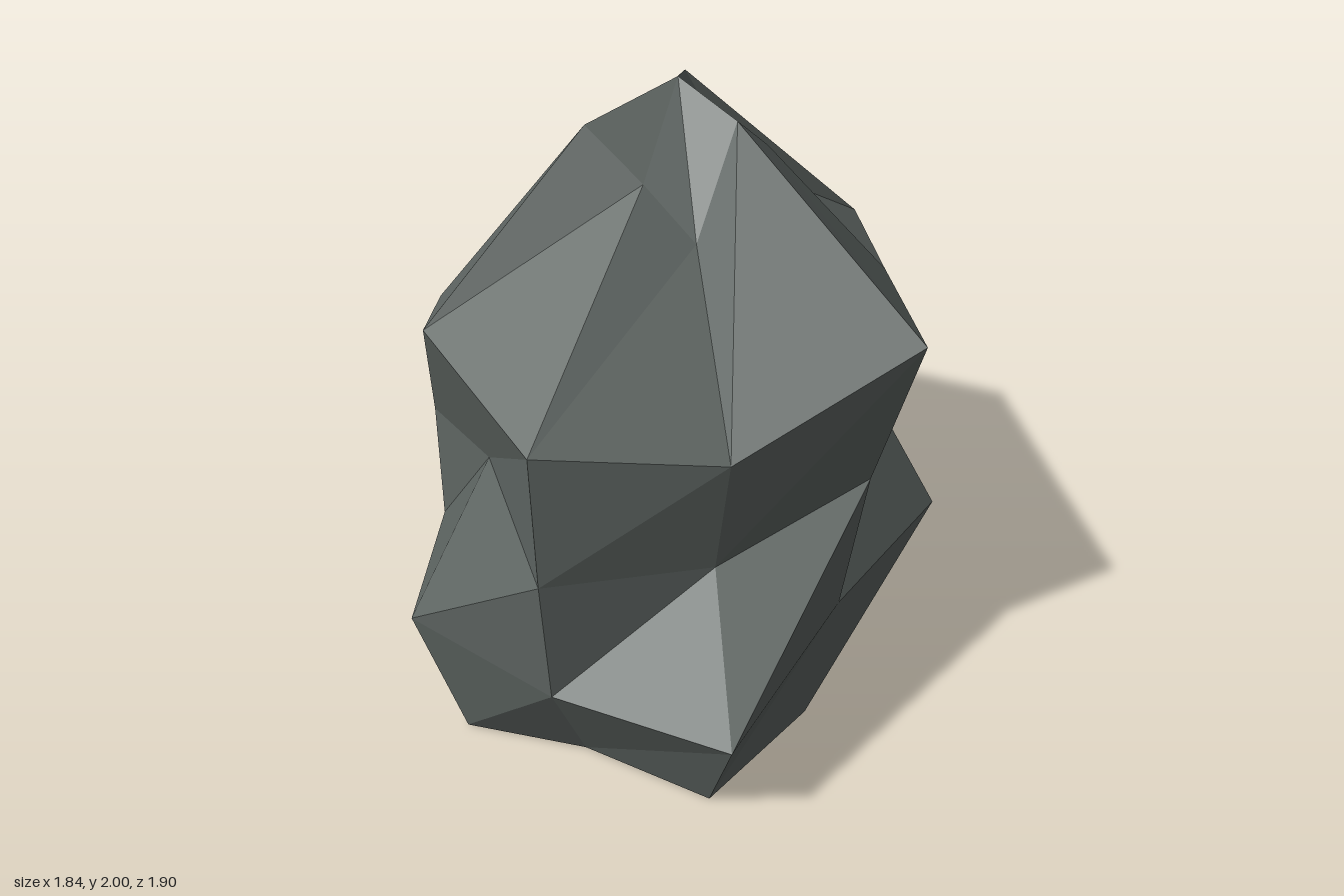
import * as THREE from 'three';

// Rings from top to bottom: three repeating heights, and nine [x, z] corners
const rings = [
  { y: [1.925, 1.62, 1.77], xz: [[0.17, 0.06], [0, 0.17], [-0.11, 0.04], [-0.24, -0.08], [-0.11, -0.25], [0.02, -0.41], [0.18, -0.35], [0.33, -0.27], [0.33, -0.07]] },
  { y: [1.44, 1.21, 1.33], xz: [[0.49, 0.66], [-0.11, 0.68], [-0.66, 0.6], [-0.78, 0.04], [-0.59, -0.53], [-0.1, -0.95], [0.43, -0.83], [0.92, -0.57], [0.7, 0.04]] },
  { y: [0.965, 0.81, 0.89], xz: [[0.39, 0.58], [-0.12, 0.61], [-0.65, 0.6], [-0.62, 0.05], [-0.65, -0.5], [-0.09, -0.65], [0.43, -0.87], [0.66, -0.39], [0.67, 0.08]] },
  { y: [0.485, 0.41, 0.445], xz: [[0.33, 0.55], [-0.21, 0.95], [-0.62, 0.57], [-0.92, 0.12], [-0.66, -0.46], [-0.17, -0.84], [0.44, -0.89], [0.74, -0.41], [0.89, 0.16]] },
  { y: [0, 0, 0], xz: [[0.26, 0.5], [-0.18, 0.73], [-0.46, 0.38], [-0.78, 0.14], [-0.46, -0.27], [-0.17, -0.73], [0.24, -0.52], [0.65, -0.37], [0.58, 0.13]] },
];

export function createModel() {
  const n = 9;
  const positions = [];
  const index = [];
  for (const ring of rings) {
    ring.xz.forEach(([x, z], i) => positions.push(x, ring.y[i % 3], z));
  }
  const peak = positions.length / 3;
  positions.push(0.07, 2, -0.14);
  const base = peak + 1;
  positions.push(-0.08, 0, 0);

  const last = (rings.length - 1) * n;
  for (let i = 0; i < n; i++) {
    const j = (i + 1) % n;
    // Peak and flat underside
    index.push(peak, j, i);
    index.push(base, last + i, last + j);
    // Faceted sides
    for (let u = 0; u < last; u += n) {
      const l = u + n;
      index.push(u + i, u + j, l + j);
      index.push(u + i, l + j, l + i);
    }
  }

  const indexed = new THREE.BufferGeometry();
  indexed.setAttribute('position', new THREE.Float32BufferAttribute(positions, 3));
  indexed.setIndex(index);
  const geometry = indexed.toNonIndexed();
  geometry.computeVertexNormals();

  const stone = new THREE.MeshStandardMaterial({ color: 0x5f6663, flatShading: true });
  stone.name = 'darkStone';
  const boulder = new THREE.Mesh(geometry, stone);
  boulder.name = 'boulder';

  const model = new THREE.Group();
  model.name = 'rock';
  model.add(boulder);
  return model;
}
